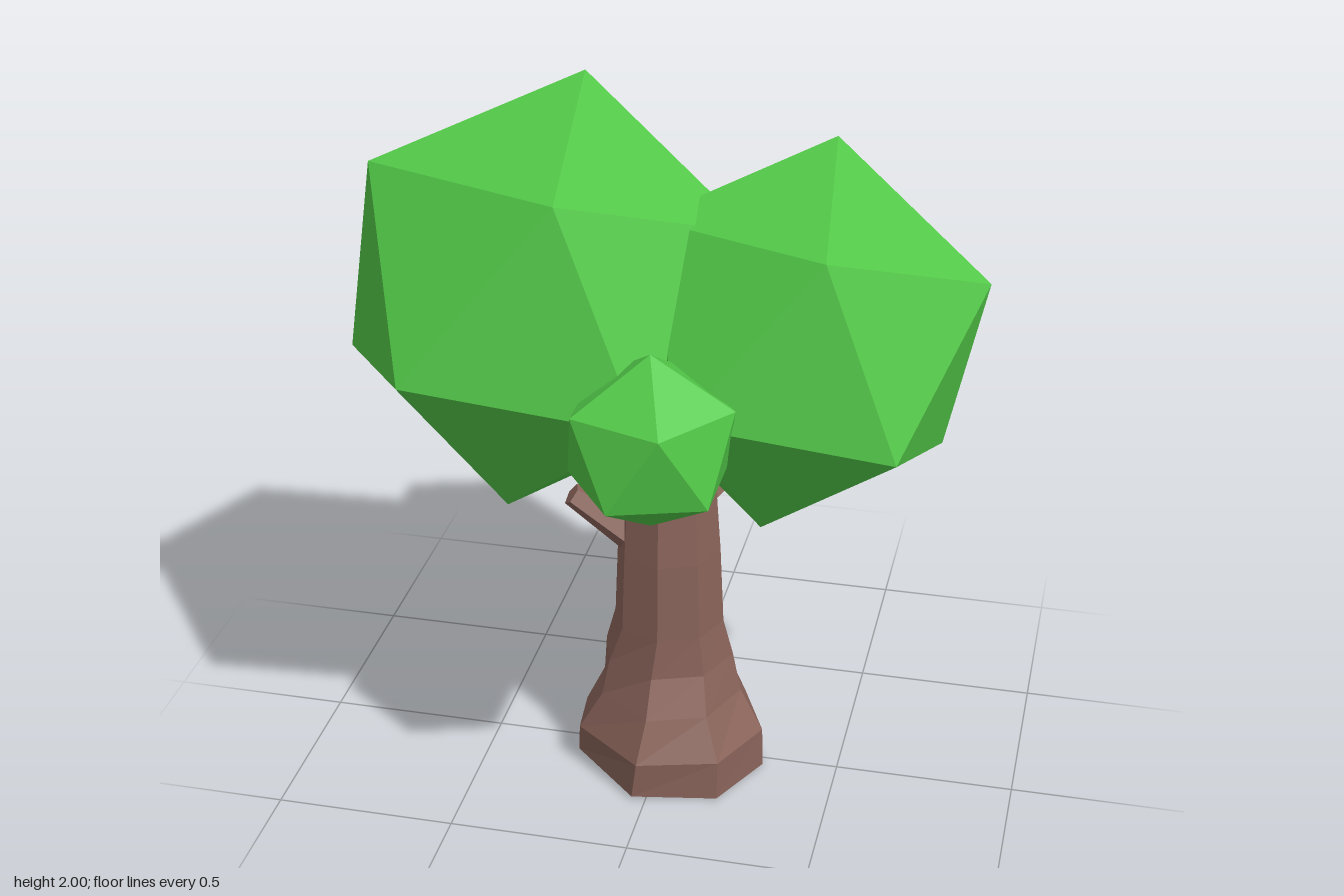
import * as THREE from 'three';

const V = (x, y, z) => new THREE.Vector3(x, y, z);
const bark = new THREE.MeshStandardMaterial({ color: 0x8a645a, flatShading: true });
const leaf = new THREE.MeshStandardMaterial({ color: 0x52c848, flatShading: true });

// Orthonormal frame whose x axis is a, with b in the xy plane
function frame(a, b) {
  const x = a.clone().normalize();
  const z = a.clone().cross(b).normalize();
  return new THREE.Matrix4().makeBasis(x, z.clone().cross(x), z);
}

// Icosahedron turned so that two adjacent corners point along a and b
function foliage(name, centre, a, b) {
  const geo = new THREE.IcosahedronGeometry(a.length(), 0);
  const p = geo.attributes.position; // first face gives two adjacent corners
  const from = frame(V().fromBufferAttribute(p, 0), V().fromBufferAttribute(p, 1));
  geo.applyMatrix4(frame(a, b).multiply(from.transpose()));
  geo.translate(centre.x, centre.y, centre.z);
  const mesh = new THREE.Mesh(geo, leaf);
  mesh.name = name;
  return mesh;
}

// Eight-sided trunk lofted through rings, with uneven corners at the root
function trunk() {
  // y, right x, left x, front z, back z
  const rings = [
    [0.01, 0.29, -0.245, 0.29, -0.225],
    [0.12, 0.287, -0.245, 0.29, -0.222],
    [0.24, 0.22, -0.185, 0.24, -0.195],
    [0.35, 0.195, -0.175, 0.195, -0.17],
    [0.47, 0.17, -0.14, 0.185, -0.12],
    [0.70, 0.16, -0.13, 0.18, -0.11],
    [1.00, 0.14, -0.11, 0.165, -0.085],
    [1.15, 0.13, -0.10, 0.15, -0.075],
  ];
  const root = [0, 50, 103, 165, 195, 235, 268, 312];
  const n = root.length, pos = [], index = [];
  rings.forEach(([y, r, l, f, b], i) => {
    const k = Math.min(1, i / 4);
    for (let j = 0; j < n; j++) {
      const t = THREE.MathUtils.degToRad(THREE.MathUtils.lerp(root[j], j * 45, k));
      const x = (r + l) / 2 + (r - l) / 2 * Math.cos(t);
      const z = (f + b) / 2 + (f - b) / 2 * Math.sin(t);
      pos.push(x, i ? y : y - 0.035 * x, z); // slightly slanted base
    }
  });
  const top = (rings.length - 1) * n;
  for (let i = 0; i < top; i += n) {
    for (let j = 0; j < n; j++) {
      const p = i + j, q = i + (j + 1) % n;
      index.push(p, p + n, q, q, p + n, q + n);
    }
  }
  for (let j = 1; j < n - 1; j++) {
    index.push(0, j, j + 1, top, top + j + 1, top + j);
  }
  const geo = new THREE.BufferGeometry();
  geo.setAttribute('position', new THREE.Float32BufferAttribute(pos, 3));
  geo.setIndex(index);
  geo.computeVertexNormals();
  const mesh = new THREE.Mesh(geo, bark);
  mesh.name = 'trunk';
  return mesh;
}

// Tapered twig between two points
function twig(name, from, to, r0, r1) {
  const dir = to.clone().sub(from);
  const mesh = new THREE.Mesh(new THREE.CylinderGeometry(r1, r0, dir.length(), 5), bark);
  mesh.quaternion.setFromUnitVectors(V(0, 1, 0), dir.normalize());
  mesh.position.copy(from).add(to).multiplyScalar(0.5);
  mesh.name = name;
  return mesh;
}

export function createModel() {
  const tree = new THREE.Group();
  tree.name = 'tree';
  tree.add(trunk());

  // Side branches
  tree.add(twig('rightBranch', V(-0.06, 0.73, 0.06), V(-0.24, 0.865, 0.11), 0.065, 0.033));
  tree.add(twig('leftBranch', V(0.09, 0.86, 0.0), V(0.22, 0.91, -0.225), 0.06, 0.032));
  tree.add(twig('leftBranchTip', V(0.22, 0.89, -0.225), V(0.225, 1.03, -0.24), 0.032, 0.022));

  // Two large leaf masses
  tree.add(foliage('rightCrown', V(-0.305, 1.455, 0.085), V(0.065, 0.545, -0.195), V(0.135, 0.405, 0.405)));
  tree.add(foliage('leftCrown', V(0.36, 1.37, 0.028), V(0.06, 0.49, -0.173), V(0.12, 0.365, 0.357)));

  // Small upright leaf clumps, front and back
  for (const [name, c, r] of [
    ['frontClump', V(0.07, 1.26, 0.495), 0.24],
    ['backClump', V(-0.065, 1.27, -0.44), 0.31],
  ]) tree.add(foliage(name, c, V(0, r, 0), V(r * 0.894, r * 0.447, 0)));

  return tree;
}
